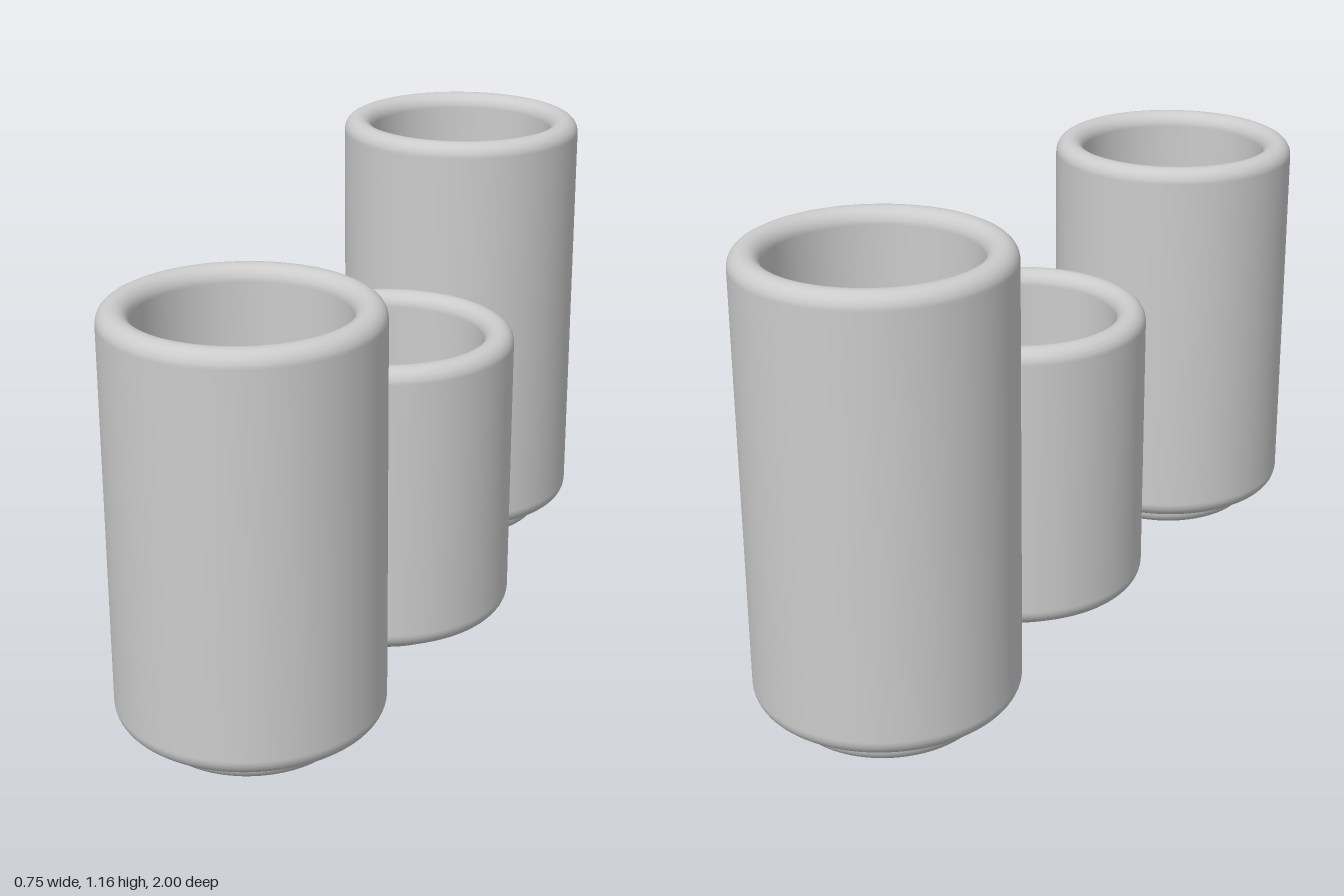
import * as THREE from 'three';

const R = 0.316;      // outer radius
const INNER = 0.243;  // cavity radius
const FOOT = 0.239;   // foot radius
const SEGMENTS = 96;

// Lathe with smooth fillets; straight corners get duplicated points for crisp edges.
function lathe(build, material, name) {
  const path = new THREE.Path();
  build(path);
  const points = [];
  for (const curve of path.curves) {
    points.push(...curve.getPoints(curve.isEllipseCurve ? 10 : 1));
  }
  // Separate strips per curve keep flats truly flat; fillets are tangent to them.
  const clean = points.filter((p, i) => i === 0 || p.distanceTo(points[i - 1]) > 1e-6);
  const mesh = new THREE.Mesh(new THREE.LatheGeometry(clean, SEGMENTS), material);
  mesh.name = name;
  return mesh;
}

function makeJar({ name, x, z, foot, bottom, top }, material) {
  const jar = new THREE.Group();
  jar.name = name;
  const f = 0.045;                // lower edge fillet
  const lip = (R - INNER) / 2;    // fully rounded rim
  const floor = bottom + 0.07;

  // Hollow body: underside, outer wall, rounded rim, inner wall, floor
  jar.add(lathe((p) => {
    p.moveTo(0, bottom);
    p.lineTo(R - f, bottom);
    p.absarc(R - f, bottom + f, f, -Math.PI / 2, 0, false);
    p.lineTo(R, top - lip);
    p.absarc(R - lip, top - lip, lip, 0, Math.PI, false);
    p.lineTo(INNER, floor + 0.02);
    p.absarc(INNER - 0.02, floor + 0.02, 0.02, 0, -Math.PI / 2, true);
    p.lineTo(0, floor);
  }, material, 'body'));

  // Narrower foot with a rounded lower edge
  const g = 0.038;
  jar.add(lathe((p) => {
    p.moveTo(0, foot);
    p.lineTo(FOOT - g, foot);
    p.absarc(FOOT - g, foot + g, g, -Math.PI / 2, 0, false);
    p.lineTo(FOOT, bottom + 0.02);
  }, material, 'foot'));

  jar.position.set(x, 0, z);
  return jar;
}

export function createModel() {
  const model = new THREE.Group();
  model.name = 'jarSet';
  const material = new THREE.MeshStandardMaterial({ color: 0xcccccc, side: THREE.DoubleSide });
  const jars = [
    { name: 'frontJar', x: -0.06, z: 0.684, foot: 0.013, bottom: 0.069, top: 1.064 },
    { name: 'middleJar', x: 0.058, z: 0.002, foot: 0.003, bottom: 0.045, top: 0.79 },
    { name: 'backJar', x: 0.058, z: -0.684, foot: 0, bottom: 0.062, top: 1.16 },
  ];
  for (const jar of jars) model.add(makeJar(jar, material));
  return model;
}
